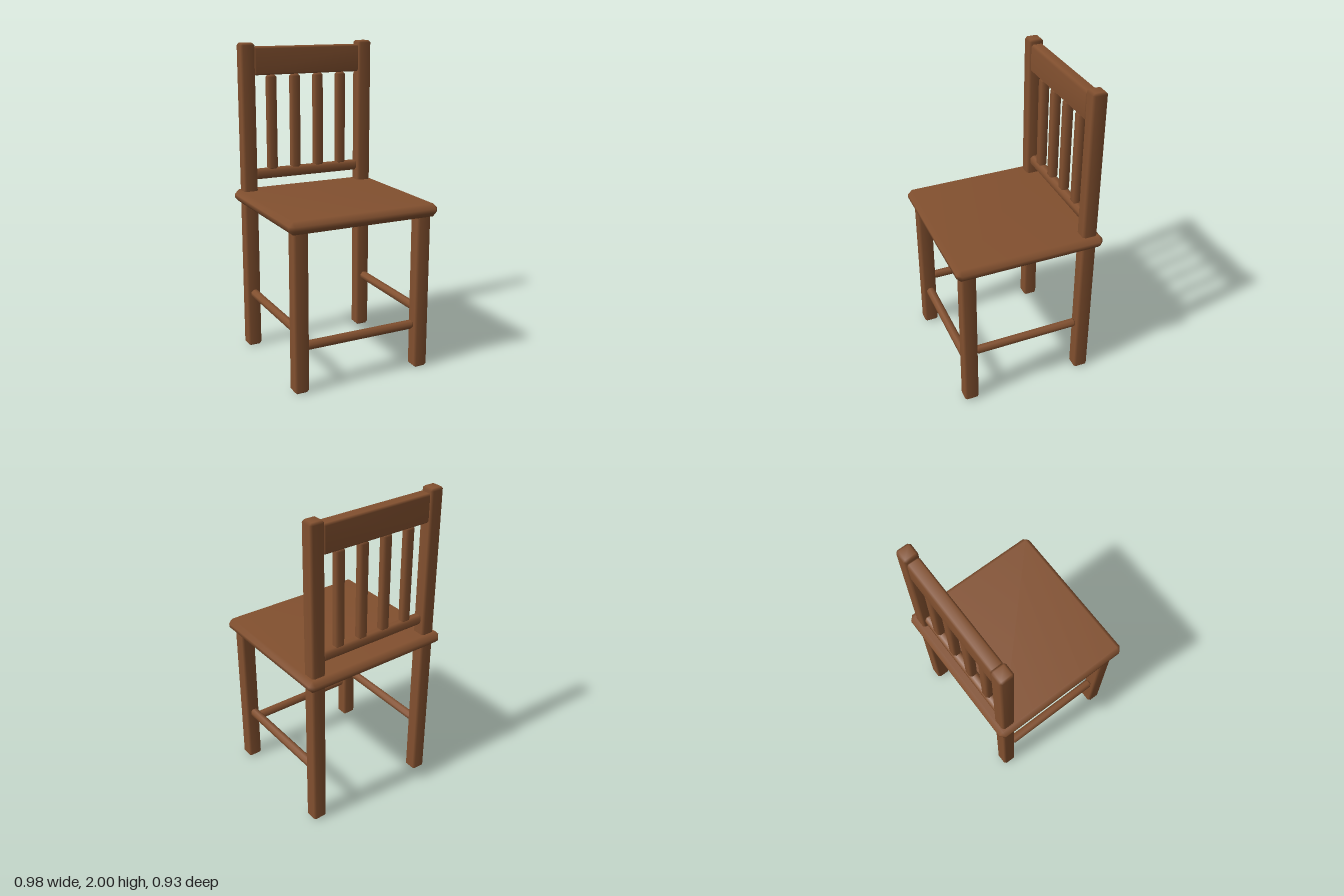
import * as THREE from 'three';

// Box from min/max corners with chamfered edges and corners, softly shaded
function chamferBox(w, h, d, c) {
  const half = [w / 2, h / 2, d / 2], pos = [], idx = [];
  const signs = [-1, 1];
  // One vertex per corner and per axis it touches
  const id = (s, a) => ((s[0] > 0 ? 4 : 0) + (s[1] > 0 ? 2 : 0) + (s[2] > 0 ? 1 : 0)) * 3 + a;
  for (const x of signs) for (const y of signs) for (const z of signs)
    for (let a = 0; a < 3; a++)
      [x, y, z].forEach((s, i) => pos.push(s * (half[i] - (i === a ? 0 : c))));
  const at = (i) => new THREE.Vector3(...pos.slice(i * 3, i * 3 + 3));
  // Add a triangle wound to face outwards
  const tri = (i, j, k) => {
    const A = at(i), B = at(j), C = at(k);
    const n = B.clone().sub(A).cross(C.clone().sub(A));
    if (n.dot(A.add(B).add(C)) < 0) idx.push(i, k, j);
    else idx.push(i, j, k);
  };
  const quad = (a, b, cc, e) => { tri(a, b, cc); tri(a, cc, e); };
  const corner = (a, sa, b, sb, e, se) => { const s = []; s[a] = sa; s[b] = sb; s[e] = se; return s; };
  for (let a = 0; a < 3; a++) {
    const b = (a + 1) % 3, e = (a + 2) % 3;
    for (const s of signs) {
      // Flat side
      quad(...[[-1, -1], [1, -1], [1, 1], [-1, 1]].map(([p, q]) => id(corner(a, s, b, p, e, q), a)));
      // Edge strip between sides a and b
      for (const t of signs) {
        const lo = corner(a, s, b, t, e, -1), hi = corner(a, s, b, t, e, 1);
        quad(id(lo, a), id(lo, b), id(hi, b), id(hi, a));
      }
    }
  }
  // Corner triangles
  for (let k = 0; k < 8; k++) tri(k * 3, k * 3 + 1, k * 3 + 2);
  const g = new THREE.BufferGeometry();
  g.setAttribute('position', new THREE.Float32BufferAttribute(pos, 3));
  g.setIndex(idx);
  g.computeVertexNormals();
  return g;
}

export function createModel() {
  const chair = new THREE.Group();
  chair.name = 'chair';
  const wood = new THREE.MeshStandardMaterial({ color: 0x82502f });
  wood.name = 'brown wood';

  const part = (name, [w, h, d], [x, y, z], c) => {
    const m = new THREE.Mesh(chamferBox(w, h, d, c), wood);
    m.name = name;
    m.position.set(x, y, z);
    chair.add(m);
  };

  const legX = 0.409, legZ = 0.387, leg = 0.092;

  part('seat', [0.98, 0.08, 0.934], [0, 1.025, 0], 0.028);

  for (const [side, s] of [['left', 1], ['right', -1]]) {
    part(side + 'FrontLeg', [leg, 1, leg], [s * legX, 0.5, legZ], 0.014);
    part(side + 'BackPost', [leg, 2, leg], [s * legX, 1, -legZ], 0.014);
    part(side + 'Stretcher', [0.053, 0.053, 0.685], [s * legX, 0.375, 0], 0.016);
  }
  part('frontStretcher', [0.735, 0.053, 0.053], [0, 0.284, legZ], 0.016);

  // Backrest
  part('topRail', [0.735, 0.175, 0.08], [0, 1.888, -0.386], 0.012);
  part('lowerRail', [0.735, 0.065, 0.06], [0, 1.167, -0.386], 0.016);
  for (let i = 0; i < 4; i++)
    part('backSlat' + (i + 1), [0.064, 0.61, 0.055], [(i - 1.5) * 0.163, 1.494, -0.386], 0.014);

  return chair;
}
